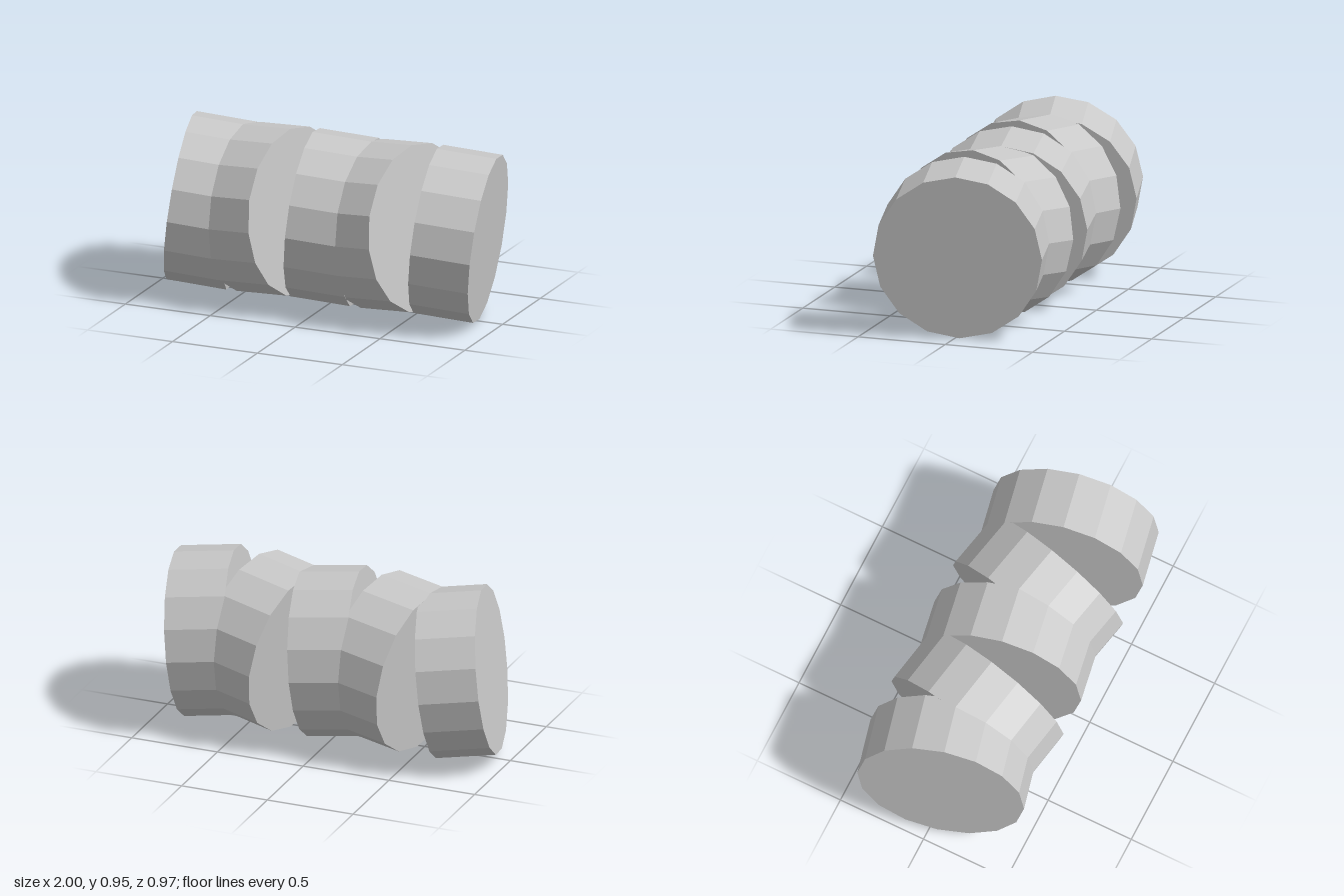
import * as THREE from 'three';

const RADIUS = 0.46, LENGTH = 0.33, SIDES = 16, SPACING = 0.363;
// Sideways lean of each drum's axis, from the model's right to its left
const LEANS = [0.25, 0.205, 0.18, 0.24, 0.205];

export function createModel() {
  const group = new THREE.Group();
  group.name = 'drumStack';

  const grey = new THREE.MeshStandardMaterial({ color: 0xc8c8c8 });
  grey.name = 'grey';
  grey.flatShading = true;

  // One 16-sided drum lying along x, with a corner pointing straight up
  const drum = new THREE.CylinderGeometry(RADIUS, RADIUS, LENGTH, SIDES).rotateZ(-Math.PI / 2);
  const xAxis = new THREE.Vector3(1, 0, 0);

  // Overlapping drums that lean alternately back-down and front-up
  LEANS.forEach((lean, i) => {
    const t = i % 2 ? lean : -lean;
    const mesh = new THREE.Mesh(drum, grey);
    mesh.name = `drum${i + 1}`;
    mesh.position.set(0.012 + (i - 2) * SPACING, 0.479, 0);
    mesh.quaternion.setFromUnitVectors(xAxis, new THREE.Vector3(1, 0.52 * t, t).normalize());
    group.add(mesh);
  });

  return group;
}
